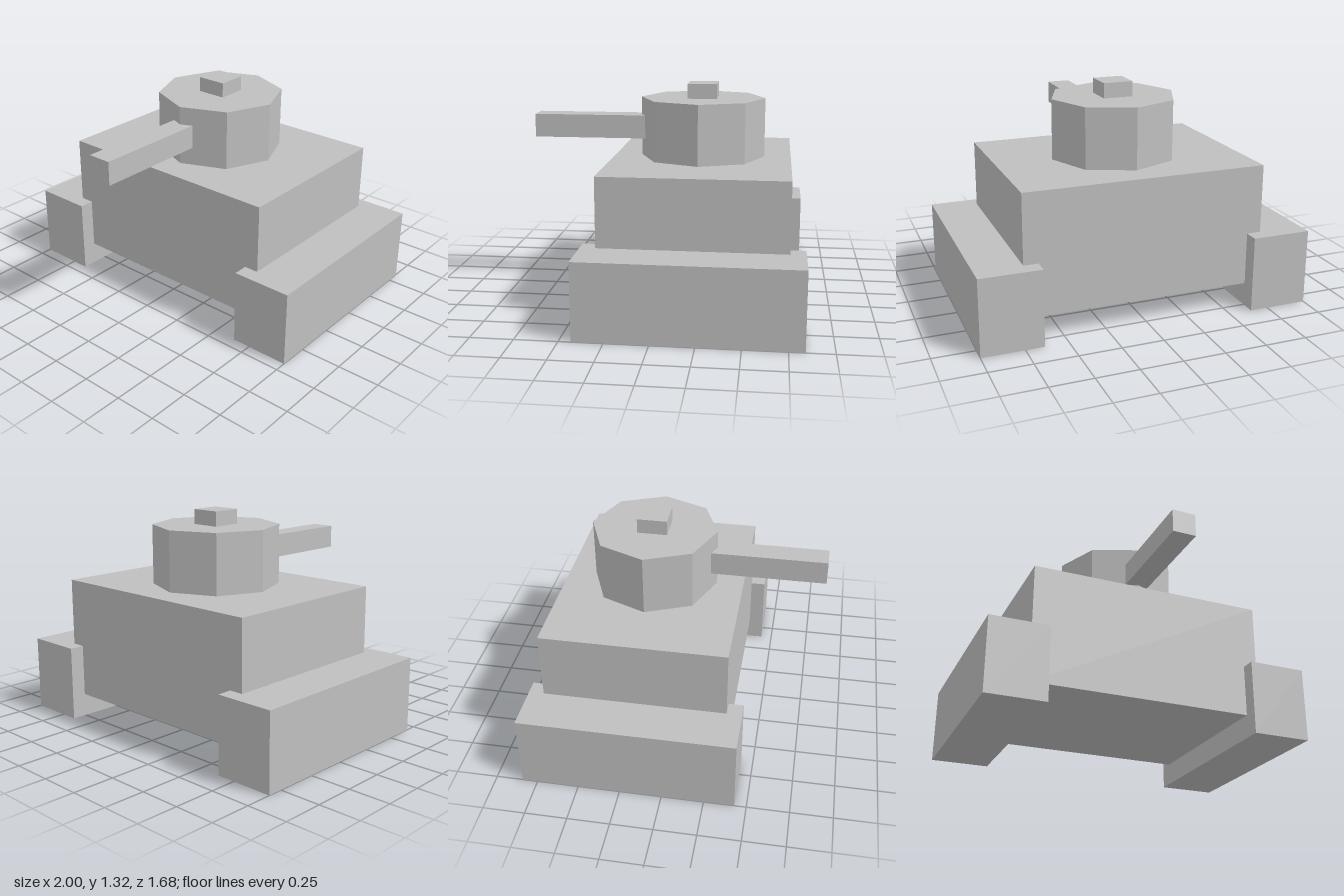
import * as THREE from 'three';

export function createModel() {
  const model = new THREE.Group();
  const grey = new THREE.MeshStandardMaterial({ color: 0xbfbfbf, flatShading: true });
  grey.name = 'plain grey';
  const midZ = -0.205; // shared centre of hull, tracks and turret

  const add = (name, geometry, x, y, z) => {
    const mesh = new THREE.Mesh(geometry, grey);
    mesh.name = name;
    mesh.position.set(x, y, z);
    model.add(mesh);
  };
  const box = (name, w, h, d, x, bottom, z) =>
    add(name, new THREE.BoxGeometry(w, h, d), x, bottom + h / 2, z);

  // Hull, sunk between the two tracks
  box('hull', 1.452, 0.727, 1.09, 0, 0.14, midZ);

  // Track blocks
  for (const [name, side] of [['leftTrack', 1], ['rightTrack', -1]]) {
    box(name, 0.36, 0.456, 1.27, side * 0.82, 0, midZ);
  }

  // Eight-sided turret with a corner facing forward
  add('turret', new THREE.CylinderGeometry(0.382, 0.382, 0.363, 8), 0, 0.867 + 0.363 / 2, midZ);

  // Hatch on the turret roof
  box('hatch', 0.18, 0.09, 0.18, 0, 1.23, midZ);

  // Square gun barrel, rooted inside the turret
  box('barrel', 0.145, 0.143, 0.74, 0, 0.977, 0.47);

  return model;
}
